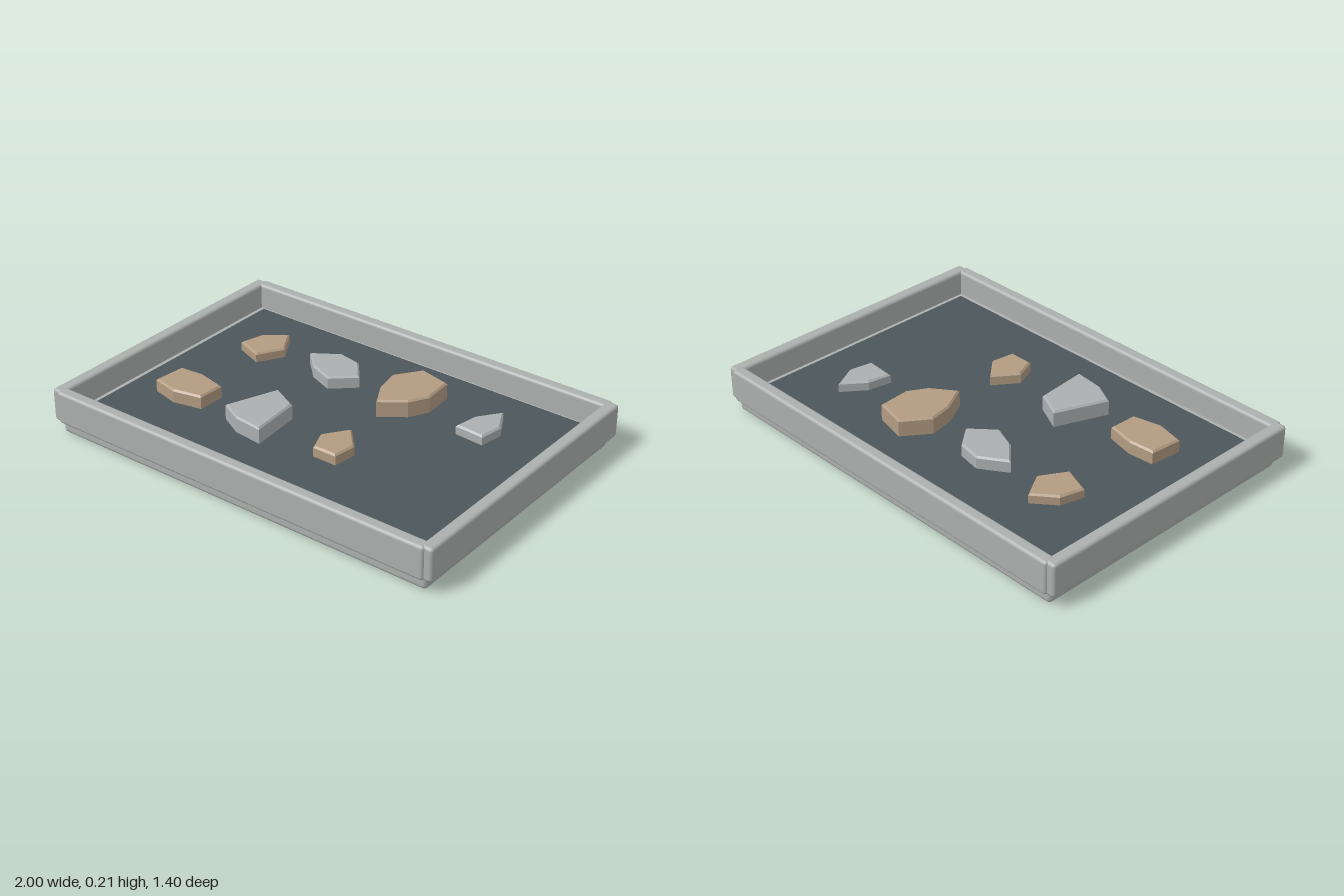
import * as THREE from 'three';
import { RoundedBoxGeometry } from 'three/addons/geometries/RoundedBoxGeometry.js';

const mat = (name, color) => {
  const m = new THREE.MeshStandardMaterial({ color });
  m.name = name;
  return m;
};

export function createModel() {
  const group = new THREE.Group();
  const trayGrey = mat('trayGrey', 0xabafad);
  const slate = mat('slate', 0x4c565a);
  const tan = mat('tanStone', 0xb29b82);
  const paleGrey = mat('greyStone', 0xabafaf);

  const add = (name, geometry, material) => {
    const mesh = new THREE.Mesh(geometry, material);
    mesh.name = name;
    group.add(mesh);
    return mesh;
  };

  // Rounded box given by size, centre height range and position
  const block = (name, w, d, y0, y1, x, z, r, material) =>
    add(name, new RoundedBoxGeometry(w, y1 - y0, d, 3, r), material)
      .position.set(x, (y0 + y1) / 2, z);

  // Tray floor and raised slate panel
  block('base', 1.93, 1.35, 0, 0.092, 0, 0, 0.02, trayGrey);
  block('panel', 1.764, 1.174, 0.08, 0.126, 0, 0, 0.005, slate);

  // Four rim bars; the long ones stop short of the corners
  for (const s of [1, -1]) {
    block(s > 0 ? 'frontRim' : 'backRim', 1.93, 0.058, 0.056, 0.212, 0, s * 0.671, 0.015, trayGrey);
    block(s > 0 ? 'leftRim' : 'rightRim', 0.06, 1.38, 0.056, 0.212, s * 0.97, 0, 0.015, trayGrey);
  }

  // Stones: outline in [x, z], height above the panel, material
  const stones = [
    [[[-0.56, -0.39], [-0.49, -0.27], [-0.56, -0.15], [-0.69, -0.2], [-0.66, -0.31]], 0.045, tan],
    [[[-0.36, -0.29], [-0.24, -0.37], [-0.13, -0.35], [-0.05, -0.25], [-0.155, -0.155], [-0.27, -0.2]], 0.058, paleGrey],
    [[[0.16, -0.44], [0.31, -0.405], [0.32, -0.26], [0.27, -0.17], [0.16, -0.09], [0.095, -0.21], [0.075, -0.32]], 0.08, tan],
    [[[0.61, -0.395], [0.67, -0.28], [0.65, -0.17], [0.51, -0.18], [0.53, -0.29]], 0.045, paleGrey],
    [[[-0.72, 0.17], [-0.6, 0.16], [-0.47, 0.19], [-0.475, 0.32], [-0.61, 0.35], [-0.735, 0.32]], 0.062, tan],
    [[[-0.24, 0.08], [-0.11, 0.145], [-0.09, 0.39], [-0.23, 0.375], [-0.335, 0.32]], 0.075, paleGrey],
    [[[0.19, 0.12], [0.28, 0.22], [0.265, 0.33], [0.15, 0.33], [0.11, 0.23]], 0.05, tan],
  ];
  const bevel = 0.008;
  stones.forEach(([outline, height, material], i) => {
    const shape = new THREE.Shape(outline.map(([x, z]) => new THREE.Vector2(x, -z)));
    // The lower bevel is sunk into the panel
    const geo = new THREE.ExtrudeGeometry(shape, {
      depth: height - bevel, bevelEnabled: true, bevelThickness: bevel,
      bevelSize: bevel, bevelOffset: -bevel, bevelSegments: 1,
    });
    geo.rotateX(-Math.PI / 2);
    add('stone' + (i + 1), geo, material).position.y = 0.126;
  });

  return group;
}
